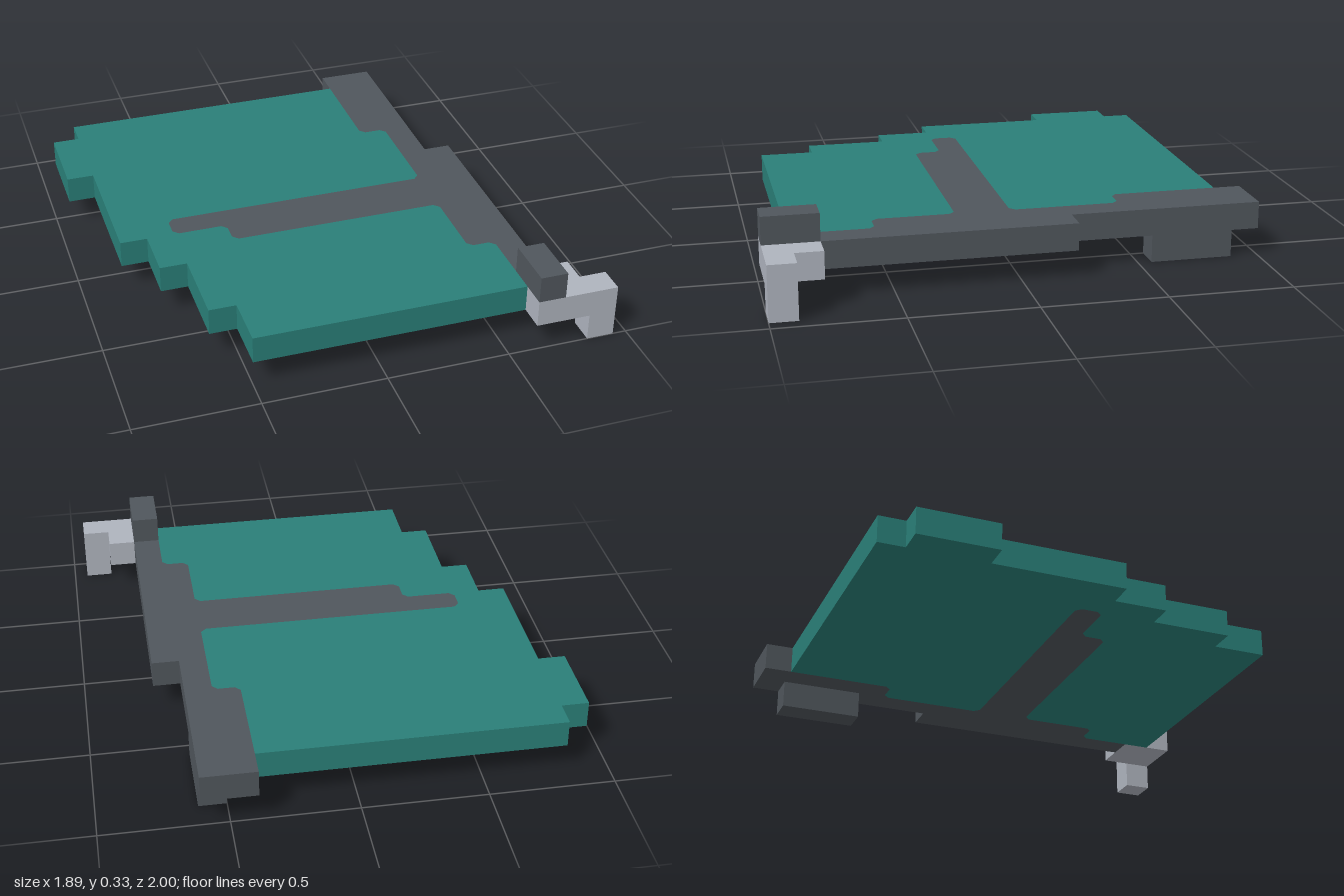
import * as THREE from 'three';

const U = 1 / 9; // one grid cell; the model spans 17 x 3 x 18 cells

const teal = new THREE.MeshStandardMaterial({ name: 'teal', color: 0x2a7f78 });
const darkGrey = new THREE.MeshStandardMaterial({ name: 'dark grey', color: 0x50565c });
const lightGrey = new THREE.MeshStandardMaterial({ name: 'light grey', color: 0xafb4be });

// Cut the inner corners of a path by a small amount (in cells)
function chamfer(path, cut = 0.2) {
  const out = [path[0]];
  for (let i = 1; i < path.length - 1; i++) {
    const [x, z] = path[i];
    for (const [nx, nz] of [path[i - 1], path[i + 1]]) {
      out.push([x + Math.sign(nx - x) * cut, z + Math.sign(nz - z) * cut]);
    }
  }
  out.push(path[path.length - 1]);
  return out;
}

// Flat slab from an (x, z) outline in cells, one cell thick, starting at y = 1
function slab(name, outline, material) {
  const shape = new THREE.Shape(outline.map(([x, z]) => new THREE.Vector2((x - 8.5) * U, (9 - z) * U)));
  const geometry = new THREE.ExtrudeGeometry(shape, { depth: U, bevelEnabled: false });
  geometry.rotateX(-Math.PI / 2).translate(0, U, 0);
  const mesh = new THREE.Mesh(geometry, material);
  mesh.name = name;
  return mesh;
}

// Box between two corners given in cells
function block(name, [x0, y0, z0], [x1, y1, z1], material) {
  const mesh = new THREE.Mesh(new THREE.BoxGeometry((x1 - x0) * U, (y1 - y0) * U, (z1 - z0) * U), material);
  mesh.position.set(((x0 + x1) / 2 - 8.5) * U, ((y0 + y1) / 2) * U, ((z0 + z1) / 2 - 9) * U);
  mesh.name = name;
  return mesh;
}

export function createModel() {
  const group = new THREE.Group();
  group.name = 'wing';

  // Border shared by the membrane and the frame, back to front
  const seam = chamfer([
    [12, 1], [12, 5], [13, 5], [13, 9], [3, 9], [3, 10], [5, 10],
    [5, 11], [13, 11], [13, 14], [14, 14], [14, 16],
  ]);

  // Membrane with stepped outer edge
  group.add(slab('membrane', [
    ...seam, [14, 17], [4, 17], [4, 15], [3, 15], [3, 12], [2, 12],
    [2, 10], [1, 10], [1, 5], [0, 5], [0, 2], [1, 2], [1, 1],
  ], teal));

  // Arm bone with its finger strut
  group.add(slab('armFrame', [
    ...seam, [15, 16], [15, 7], [14, 7], [14, 0], [12, 0],
  ], darkGrey));
  group.add(block('lowerRib', [13, 0, 1], [14, 1, 4], darkGrey));
  group.add(block('knuckle', [14, 2, 16], [15, 3, 18], darkGrey));

  // Hooked claw at the front corner
  group.add(slab('clawBase', [[14, 16], [16, 16], [16, 17], [17, 17], [17, 18], [14, 18]], lightGrey));
  group.add(block('clawTip', [16, 0, 17], [17, 1, 18], lightGrey));

  return group;
}
